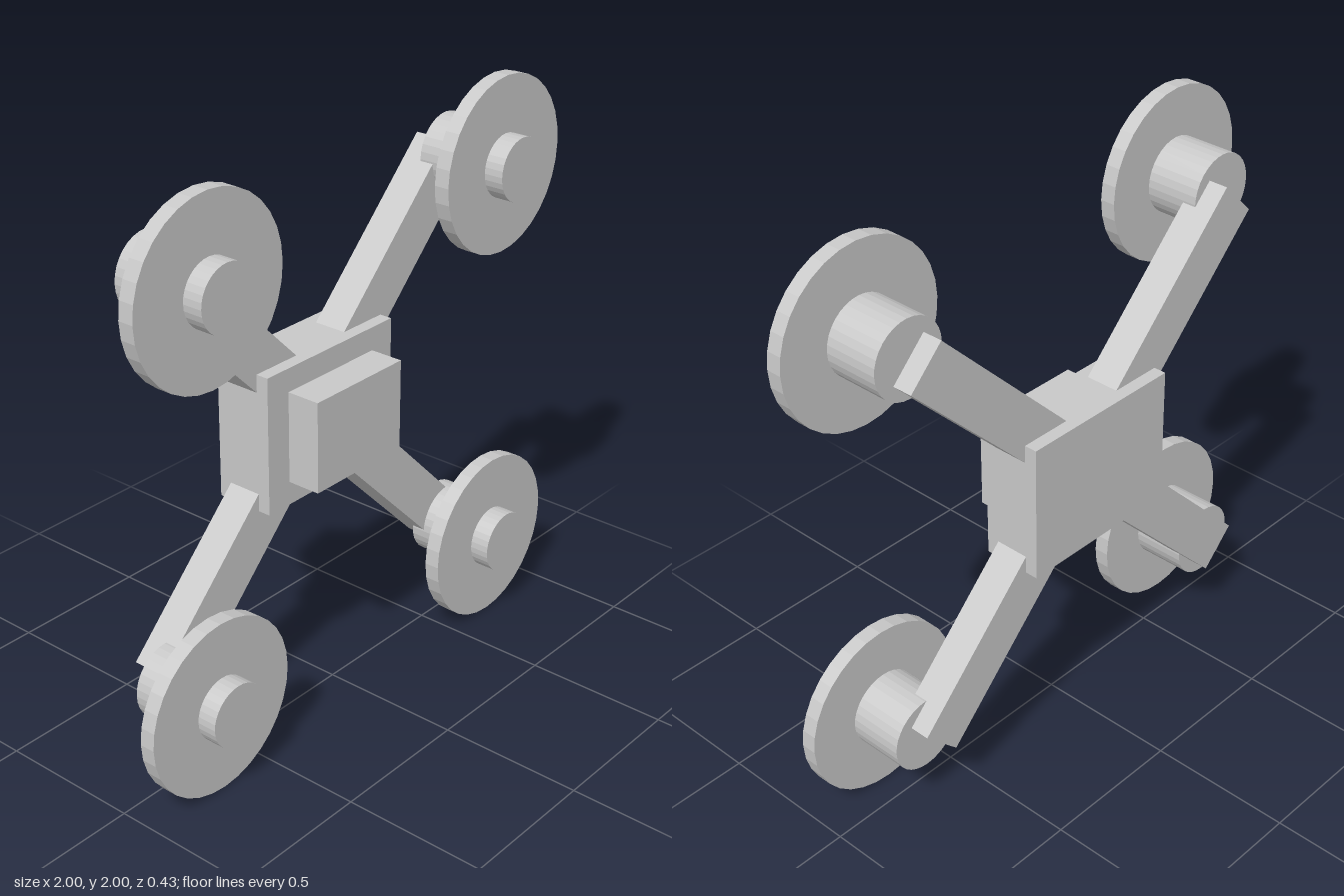
import * as THREE from 'three';

export function createModel() {
  const model = new THREE.Group();
  model.name = 'quadcopter';
  const grey = new THREE.MeshStandardMaterial({ color: 0xc8c8c8, flatShading: true });
  grey.name = 'light grey';

  const add = (parent, name, geometry, x, y, z) => {
    const mesh = new THREE.Mesh(geometry, grey);
    mesh.name = name;
    mesh.position.set(x, y, z);
    parent.add(mesh);
    return mesh;
  };

  // Disc-like part along z, from z0 to z1
  const addDisc = (parent, name, radius, z0, z1) => {
    const geometry = new THREE.CylinderGeometry(radius, radius, z1 - z0, 32);
    geometry.rotateX(Math.PI / 2);
    add(parent, name, geometry, 0, 0, (z0 + z1) / 2);
  };

  // Central body and the pod on its front
  add(model, 'body', new THREE.BoxGeometry(0.606, 0.482, 0.21), 0, 1, -0.11);
  add(model, 'pod', new THREE.BoxGeometry(0.412, 0.318, 0.122), 0, 1, 0.054);

  const reach = 0.697; // rotor centre offset in x and y
  const armLength = reach * Math.SQRT2;

  for (const sx of [-1, 1]) {
    for (const sy of [-1, 1]) {
      const side = `${sy > 0 ? 'upper' : 'lower'}${sx > 0 ? 'Left' : 'Right'}`;

      // Diagonal arm from the body centre to the motor centre
      const arm = add(model, `${side}Arm`, new THREE.BoxGeometry(armLength, 0.175, 0.12),
        sx * reach / 2, 1 + sy * reach / 2, -0.11);
      arm.rotation.z = sx * sy * Math.PI / 4;

      // Motor, rotor disc and hub
      const rotor = new THREE.Group();
      rotor.name = `${side}Rotor`;
      rotor.position.set(sx * reach, 1 + sy * reach, 0);
      addDisc(rotor, 'motor', 0.131, -0.1, 0.092);
      addDisc(rotor, 'rotorDisc', 0.303, 0.092, 0.146);
      addDisc(rotor, 'hub', 0.109, 0.146, 0.215);
      model.add(rotor);
    }
  }
  return model;
}
